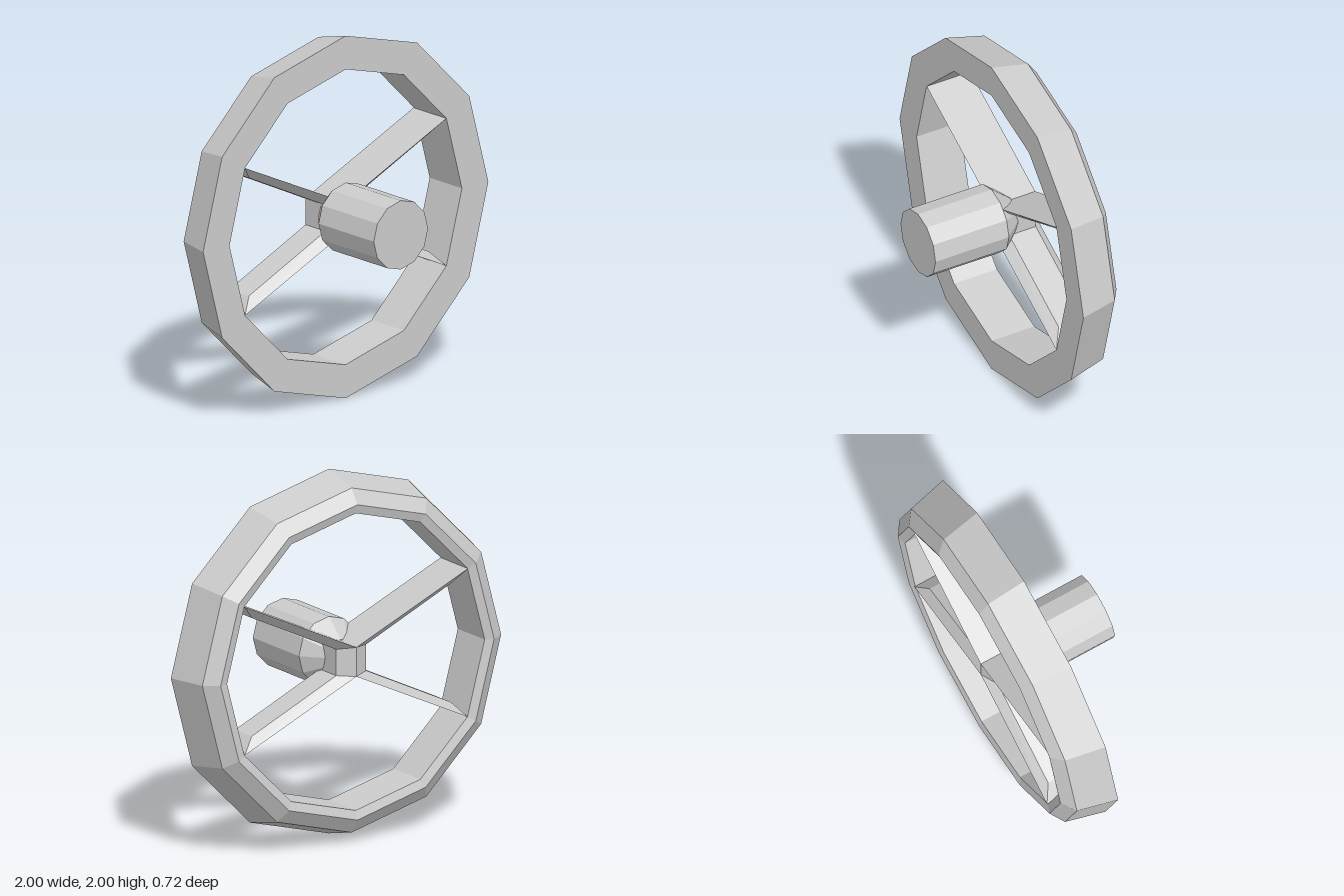
import * as THREE from 'three';
import { ConvexGeometry } from 'three/addons/geometries/ConvexGeometry.js';

const SIDES = 12;
const FRONT = -0.085, BACK = -0.35;            // full depth of the spokes
const INNER_FRONT = -0.14, INNER_BACK = -0.3;  // narrower inner side of the spokes

export function createModel() {
  const group = new THREE.Group();
  const material = new THREE.MeshStandardMaterial({ color: 0xcccccc, flatShading: true });

  const add = (name, geometry) => {
    const mesh = new THREE.Mesh(geometry, material);
    mesh.name = name;
    mesh.position.y = 1;
    group.add(mesh);
  };

  // Turned part: profile of [radius, z], revolved about the z axis
  const turned = (profile) =>
    new THREE.LatheGeometry(profile.map(([r, z]) => new THREE.Vector2(r, z)), SIDES).rotateX(Math.PI / 2);

  // Pairs of points at two depths, ready for a convex hull
  const atDepths = (points, z0, z1) =>
    points.flatMap(([x, y]) => [new THREE.Vector3(x, y, z0), new THREE.Vector3(x, y, z1)]);

  // Rim: tapered outside, chamfered back edge, straight inside wall
  add('rim', turned([
    [0.865, -0.36], [0.945, -0.305], [1, FRONT],
    [0.815, FRONT], [0.815, -0.345], [0.865, -0.36],
  ]));

  // Hub: faceted cylinder that tapers into the spokes at the back
  add('hub', turned([[0, -0.2], [0.09, -0.2], [0.19, FRONT], [0.19, 0.36], [0, 0.36]]));

  // Core where the spokes meet
  const ends = [-1, 1];
  const ridge = ends.map((s) => [0, 0.08 * s]);
  const flanks = ends.flatMap((sx) => ends.map((sy) => [0.095 * sx, 0.072 * sy]));
  add('core', new ConvexGeometry([
    ...atDepths(ridge, FRONT, BACK),
    ...atDepths(flanks, INNER_FRONT, INNER_BACK),
  ]));

  // Four spokes: wide outer face, narrower inner face, pointed into the rim corners
  for (const sx of ends) {
    for (const sy of ends) {
      const outer = [[0, 0.08 * sy], [0.706 * sx, 0.407 * sy]];
      const inner = [[0.095 * sx, 0.072 * sy], [0.63 * sx, 0.325 * sy]];
      add('spoke', new ConvexGeometry([
        ...atDepths(outer, FRONT, BACK),
        ...atDepths(inner, INNER_FRONT, INNER_BACK),
      ]));
    }
  }
  return group;
}
